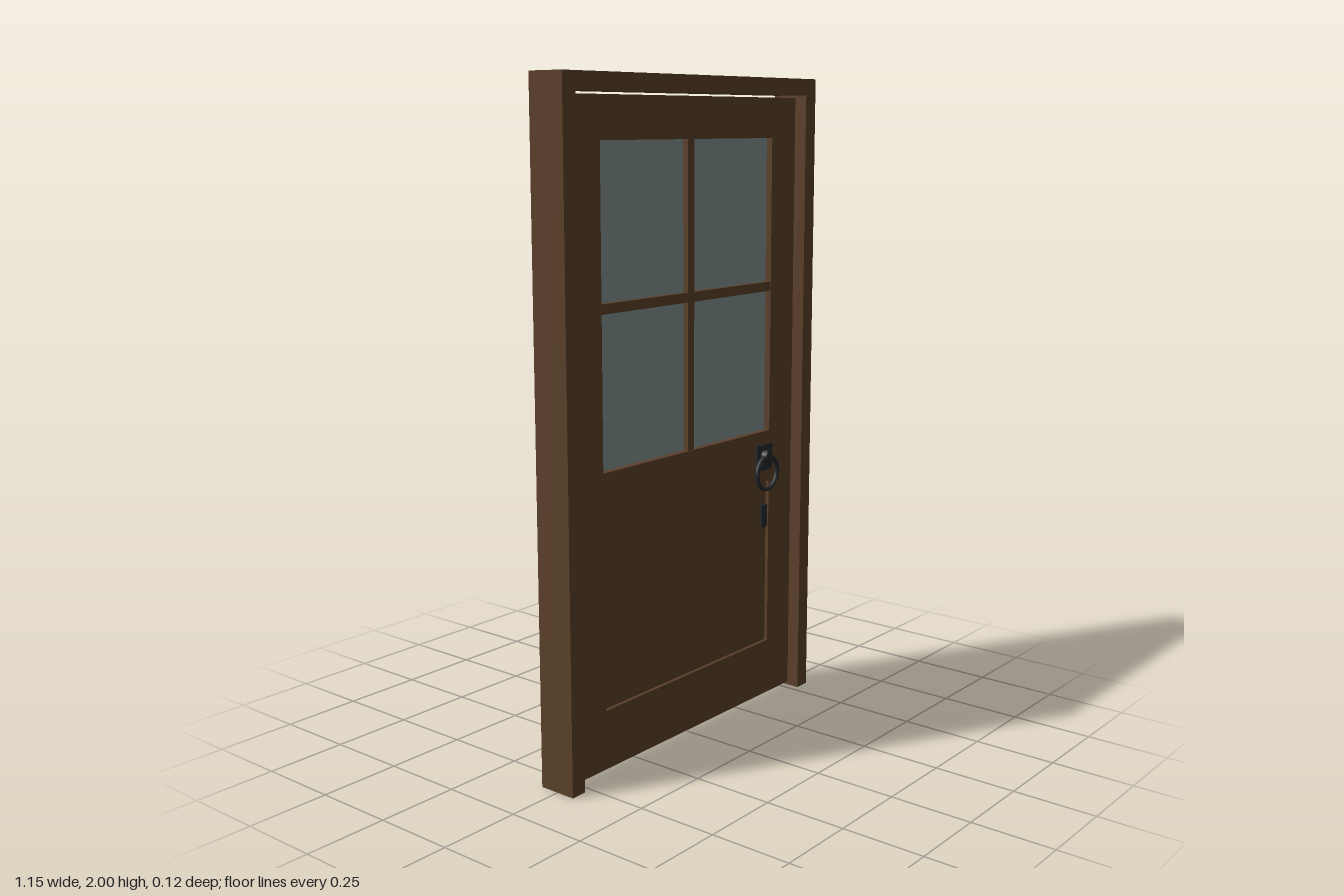
import * as THREE from 'three';

const wood = new THREE.MeshStandardMaterial({ color: 0x5c402a });
wood.name = 'brown wood';
const glass = new THREE.MeshStandardMaterial({ color: 0x839090 });
glass.name = 'grey glass';
const iron = new THREE.MeshStandardMaterial({ color: 0x26282b });
iron.name = 'black iron';

function add(parent, name, geometry, material, x = 0, y = 0, z = 0) {
  const mesh = new THREE.Mesh(geometry, material);
  mesh.name = name;
  mesh.position.set(x, y, z);
  parent.add(mesh);
  return mesh;
}

// Box given by its limits in x and y and its depth, centred on z
function slab(parent, name, material, x0, x1, y0, y1, depth) {
  return add(parent, name, new THREE.BoxGeometry(x1 - x0, y1 - y0, depth), material, (x0 + x1) / 2, (y0 + y1) / 2, 0);
}

function outline(Type, points) {
  return new Type(points.map(([x, y]) => new THREE.Vector2(x, y)));
}

function rect(Type, x0, x1, y0, y1) {
  return outline(Type, [[x0, y0], [x1, y0], [x1, y1], [x0, y1]]);
}

function extruded(shape, depth) {
  return new THREE.ExtrudeGeometry(shape, { depth, bevelEnabled: false }).translate(0, 0, -depth / 2);
}

// Iron ring pull, its backplate and the lock plate below, facing +z
function createHandle(name) {
  const handle = new THREE.Group();
  handle.name = name;
  add(handle, 'backplate', new THREE.BoxGeometry(0.08, 0.084, 0.008), iron, 0, 0.817, 0.004);
  const boss = new THREE.CylinderGeometry(0.018, 0.02, 0.022, 12).rotateX(Math.PI / 2);
  add(handle, 'ringBoss', boss, iron, 0, 0.822, 0.015);
  add(handle, 'ring', new THREE.TorusGeometry(0.054, 0.0075, 8, 14), iron, 0, 0.768, 0.018);
  add(handle, 'lockPlate', new THREE.BoxGeometry(0.03, 0.074, 0.008), iron, 0, 0.624, 0.004);
  return handle;
}

export function createModel() {
  const model = new THREE.Group();
  model.name = 'door';

  // Frame: two jambs and a head, open at the threshold
  const frame = outline(THREE.Shape, [
    [-0.575, 0], [-0.525, 0], [-0.525, 1.95], [0.525, 1.95],
    [0.525, 0], [0.575, 0], [0.575, 2], [-0.575, 2],
  ]);
  add(model, 'frame', extruded(frame, 0.12), wood);

  // Door leaf with a window opening and a panel opening
  const halfDepth = 0.025;
  const leaf = rect(THREE.Shape, -0.516, 0.516, 0.015, 1.942);
  leaf.holes.push(
    rect(THREE.Path, -0.395, 0.395, 0.9, 1.82),
    rect(THREE.Path, -0.395, 0.395, 0.195, 0.735),
  );
  add(model, 'leaf', extruded(leaf, halfDepth * 2), wood);
  slab(model, 'lowerPanel', wood, -0.395, 0.395, 0.195, 0.735, 0.028);

  // Window panes and glazing bars
  slab(model, 'windowGlass', glass, -0.395, 0.395, 0.9, 1.82, 0.009);
  slab(model, 'verticalBar', wood, -0.015, 0.015, 0.9, 1.82, 0.044);
  slab(model, 'horizontalBar', wood, -0.395, 0.395, 1.347, 1.376, 0.043);

  // Hinges in the gap on the door's right
  for (const y of [0.235, 1.003, 1.71]) {
    slab(model, 'hinge', iron, -0.528, -0.515, y - 0.052, y + 0.052, 0.06);
  }

  // Handles on both faces
  const front = createHandle('frontHandle');
  front.position.set(0.362, 0, halfDepth);
  const back = createHandle('backHandle');
  back.position.set(0.362, 0, -halfDepth);
  back.rotation.y = Math.PI;
  model.add(front, back);

  return model;
}
